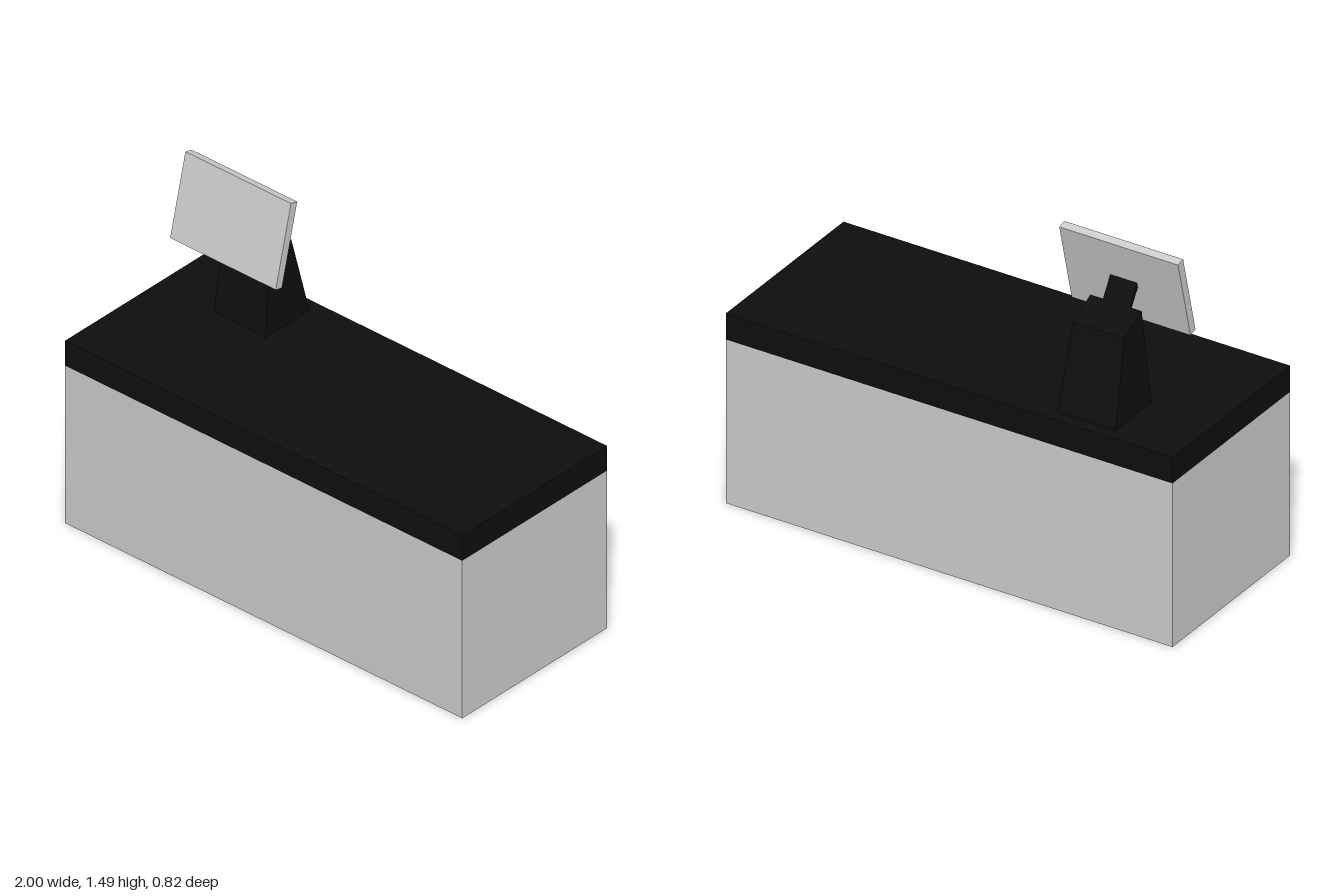
import * as THREE from 'three';

const grey = new THREE.MeshStandardMaterial({ color: 0xcccccc });
const black = new THREE.MeshStandardMaterial({ color: 0x0e0e0e });

function box(name, size, position, material, tilt = 0) {
  const mesh = new THREE.Mesh(new THREE.BoxGeometry(...size), material);
  mesh.name = name;
  mesh.position.set(...position);
  mesh.rotation.x = tilt;
  return mesh;
}

// Tapered block with a sloping top: a unit box whose corners are moved
function taperedStand() {
  const geometry = new THREE.BoxGeometry(1, 1, 1);
  const p = geometry.attributes.position;
  for (let i = 0; i < p.count; i++) {
    const top = p.getY(i) > 0, front = p.getZ(i) > 0;
    const halfWidth = top ? 0.115 : 0.131;
    p.setXYZ(
      i,
      Math.sign(p.getX(i)) * halfWidth,
      top ? (front ? 1.24 : 1.18) : 0.825,
      top ? (front ? -0.15 : -0.27) : (front ? -0.107 : -0.355)
    );
  }
  geometry.computeVertexNormals();
  const mesh = new THREE.Mesh(geometry, black);
  mesh.name = 'stand';
  mesh.position.x = -0.58;
  return mesh;
}

export function createModel() {
  const model = new THREE.Group();
  model.name = 'counterWithScreen';

  // Counter
  model.add(box('counterBody', [2, 0.712, 0.82], [0, 0.356, 0], grey));
  model.add(box('countertop', [2, 0.113, 0.82], [0, 0.7685, 0], black));

  // Stand, thin arm and tilted screen
  model.add(taperedStand());
  model.add(box('screenArm', [0.12, 0.13, 0.016], [-0.58, 1.262, -0.123], black, 0.55));
  model.add(box('screen', [0.532, 0.358, 0.036], [-0.584, 1.313, -0.077], grey, -0.244));

  return model;
}
